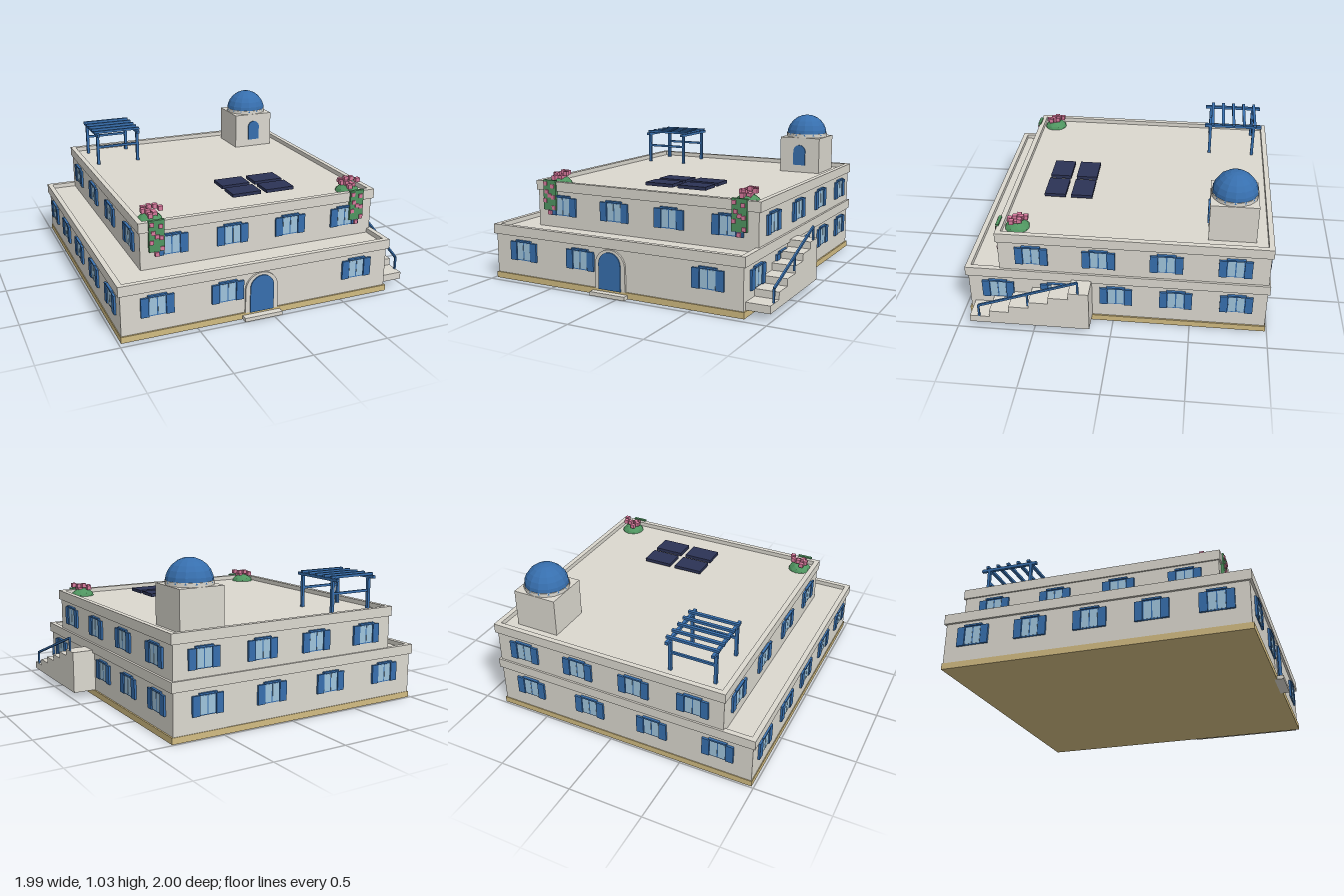
import * as THREE from 'three';

const mat = (name, color) => {
  const m = new THREE.MeshStandardMaterial({ color });
  m.name = name;
  return m;
};

export function createModel() {
  const plaster = mat('plaster', 0xdbd8cf);
  const sand = mat('sand', 0xd2bc82);
  const blue = mat('blue', 0x376fae);
  const glass = mat('glass', 0x9fc4dc);
  const navy = mat('solar navy', 0x2c3355);
  const green = mat('leaf green', 0x4f9560);
  const pink = mat('flower pink', 0xda7a9e);

  const model = new THREE.Group();
  model.name = 'house';

  const add = (parent, name, geo, material, x = 0, y = 0, z = 0) => {
    const mesh = new THREE.Mesh(geo, material);
    mesh.name = name;
    mesh.position.set(x, y, z);
    parent.add(mesh);
    return mesh;
  };
  // Box given by its limits on each axis
  const span = (parent, name, material, x0, x1, y0, y1, z0, z1) =>
    add(parent, name, new THREE.BoxGeometry(x1 - x0, y1 - y0, z1 - z0), material,
      (x0 + x1) / 2, (y0 + y1) / 2, (z0 + z1) / 2);
  const group = (name, x = 0, y = 0, z = 0, ry = 0) => {
    const g = new THREE.Group();
    g.name = name;
    g.position.set(x, y, z);
    g.rotation.y = ry;
    model.add(g);
    return g;
  };
  const flat = (geo) => {
    const g = geo.index ? geo.toNonIndexed() : geo;
    g.computeVertexNormals();
    return g;
  };

  // Plinth and the two storeys
  span(model, 'plinth', sand, -0.985, 0.845, 0, 0.04, -0.99, 0.957);
  span(model, 'lowerStorey', plaster, -0.98, 0.835, 0.04, 0.34, -0.985, 0.947);
  span(model, 'upperStorey', plaster, -0.785, 0.835, 0.34, 0.62, -0.985, 0.735);

  // Parapet rings
  const parapet = (name, x0, x1, z0, z1, y0, y1, t) => {
    const rect = (P, a, b, c, d) => new P()
      .moveTo(a, c).lineTo(b, c).lineTo(b, d).lineTo(a, d).closePath();
    const shape = rect(THREE.Shape, x0, x1, -z1, -z0);
    shape.holes.push(rect(THREE.Path, x0 + t, x1 - t, -z1 + t, -z0 - t));
    const geo = new THREE.ExtrudeGeometry(shape, { depth: y1 - y0, bevelEnabled: false });
    geo.rotateX(-Math.PI / 2);
    add(model, name, geo, plaster, 0, y0, 0);
  };
  parapet('lowerParapet', -0.995, 0.85, -0.997, 0.962, 0.305, 0.37, 0.034);
  parapet('upperParapet', -0.795, 0.85, -0.997, 0.745, 0.585, 0.65, 0.034);

  // Shuttered window, facing +z before rotation
  const windowAt = (x, y, z, ry) => {
    const w = group('window', x, y, z, ry);
    span(w, 'frame', blue, -0.058, 0.058, -0.063, 0.063, -0.005, 0.006);
    for (const s of [-1, 1]) {
      add(w, 'pane', new THREE.BoxGeometry(0.046, 0.112, 0.004), glass, s * 0.027, 0, 0.006);
      add(w, 'shutter', new THREE.BoxGeometry(0.05, 0.125, 0.018), blue, s * 0.08, -0.001, 0.005);
    }
    span(w, 'lintel', blue, -0.06, 0.06, 0.063, 0.074, -0.005, 0.017);
  };
  const spread = (a, b, n) => Array.from({ length: n }, (_, i) => a + (b - a) * (i + 0.5) / n);
  const storeyWindows = (x0, x1, z0, z1, y, nz, frontSkip) => {
    spread(x0, x1, 4).forEach((x, i) => {
      if (i !== frontSkip) windowAt(x, y, z1, 0);
      windowAt(x, y, z0, Math.PI);
    });
    for (const z of spread(z0, z1, nz)) {
      windowAt(x1, y, z, Math.PI / 2);
      windowAt(x0, y, z, -Math.PI / 2);
    }
  };
  storeyWindows(-0.98, 0.835, -0.985, 0.947, 0.205, 5, 2);
  storeyWindows(-0.785, 0.835, -0.985, 0.735, 0.486, 4, -1);

  // Arched plate standing on its base line
  const arch = (half, height, depth) => {
    const s = new THREE.Shape();
    s.moveTo(-half, 0).lineTo(half, 0).lineTo(half, height - half);
    s.absarc(0, height - half, half, 0, Math.PI, false);
    s.closePath();
    return new THREE.ExtrudeGeometry(s, { depth, bevelEnabled: false, curveSegments: 10 });
  };
  add(model, 'doorSurround', arch(0.11, 0.26, 0.025), plaster, -0.072, 0.04, 0.935);
  add(model, 'frontDoor', arch(0.08, 0.243, 0.028), blue, -0.072, 0.04, 0.939);
  span(model, 'doorStep', plaster, -0.2, 0.056, 0, 0.025, 0.94, 1.0);

  // Outside stairs with railing
  const stairs = group('stairs');
  for (let i = 0; i < 6; i++) {
    const z = 0.917 - i * 0.13;
    span(stairs, 'step', plaster, 0.835, 0.99, 0.042, 0.09 + i * 0.0464, z - 0.13, z);
  }
  for (const [z, y0, y1] of [[0.855, 0.09, 0.175], [0.53, 0.2, 0.292], [0.205, 0.32, 0.41]])
    span(stairs, 'railPost', blue, 0.978, 0.99, y0, y1, z - 0.006, z + 0.006);
  const rail = add(stairs, 'handrail',
    new THREE.BoxGeometry(0.012, 0.015, Math.hypot(0.65, 0.235)), blue, 0.984, 0.2925, 0.53);
  rail.rotation.x = Math.atan2(0.235, 0.65);

  // Domed roof room
  const room = group('domeRoom', 0.585, 0, -0.74);
  span(room, 'roomWalls', plaster, -0.15, 0.15, 0.61, 0.875, -0.15, 0.15);
  add(room, 'drum', new THREE.CylinderGeometry(0.149, 0.149, 0.027, 14), plaster, 0, 0.8875, 0);
  add(room, 'dome', flat(new THREE.SphereGeometry(0.147, 14, 6, 0, Math.PI * 2, 0, Math.PI / 2)),
    blue, 0, 0.888, 0);
  add(room, 'roomDoor', arch(0.045, 0.147, 0.015), blue, 0, 0.674, 0.145);

  // Pergola
  const pergola = group('pergola');
  for (const x of [-0.683, -0.382]) {
    for (const z of [-0.575, -0.885])
      span(pergola, 'post', blue, x - 0.01, x + 0.01, 0.61, 0.84, z - 0.01, z + 0.01);
    span(pergola, 'beam', blue, x - 0.01, x + 0.01, 0.834, 0.854, -0.94, -0.535);
  }
  for (const z of [-0.575, -0.885])
    span(pergola, 'crossBar', blue, -0.683, -0.382, 0.743, 0.759, z - 0.007, z + 0.007);
  for (let i = 0; i < 5; i++) {
    const z = -0.59 - i * 0.0755;
    span(pergola, 'slat', blue, -0.705, -0.36, 0.852, 0.869, z - 0.01, z + 0.01);
  }

  // Solar panels
  for (const x of [-0.075, 0.165])
    for (const z of [0.192, 0.372])
      span(model, 'solarPanel', navy, x, x + 0.202, 0.638, 0.66, z, z + 0.142);

  // Bushes with hanging greenery and blossoms
  const hanging = [[-0.032, 0.635], [0.025, 0.62], [-0.022, 0.58], [0.03, 0.545],
    [-0.035, 0.52], [0.033, 0.475], [0, 0.44], [0.002, 0.555]];
  for (const x of [-0.681, 0.713]) {
    const plant = group('floweringPlant', x, 0, 0);
    const bush = add(plant, 'bush', flat(new THREE.IcosahedronGeometry(0.083, 1)), green, 0, 0.61, 0.625);
    bush.scale.y = 0.75;
    span(plant, 'hangingLeaves', green, -0.05, 0.05, 0.457, 0.66, 0.735, 0.755);
    for (const [fx, fy] of hanging)
      add(plant, 'blossom', new THREE.BoxGeometry(0.026, 0.026, 0.02), pink, fx, fy, 0.752);
    for (let i = 0; i < 9; i++) {
      const a = i * 2.4, r = 0.02 + 0.0055 * i;
      add(plant, 'blossom', new THREE.BoxGeometry(0.029, 0.029, 0.029), pink,
        r * Math.cos(a), 0.665 + 0.015 * (i % 3), 0.625 + r * Math.sin(a));
    }
  }
  return model;
}
